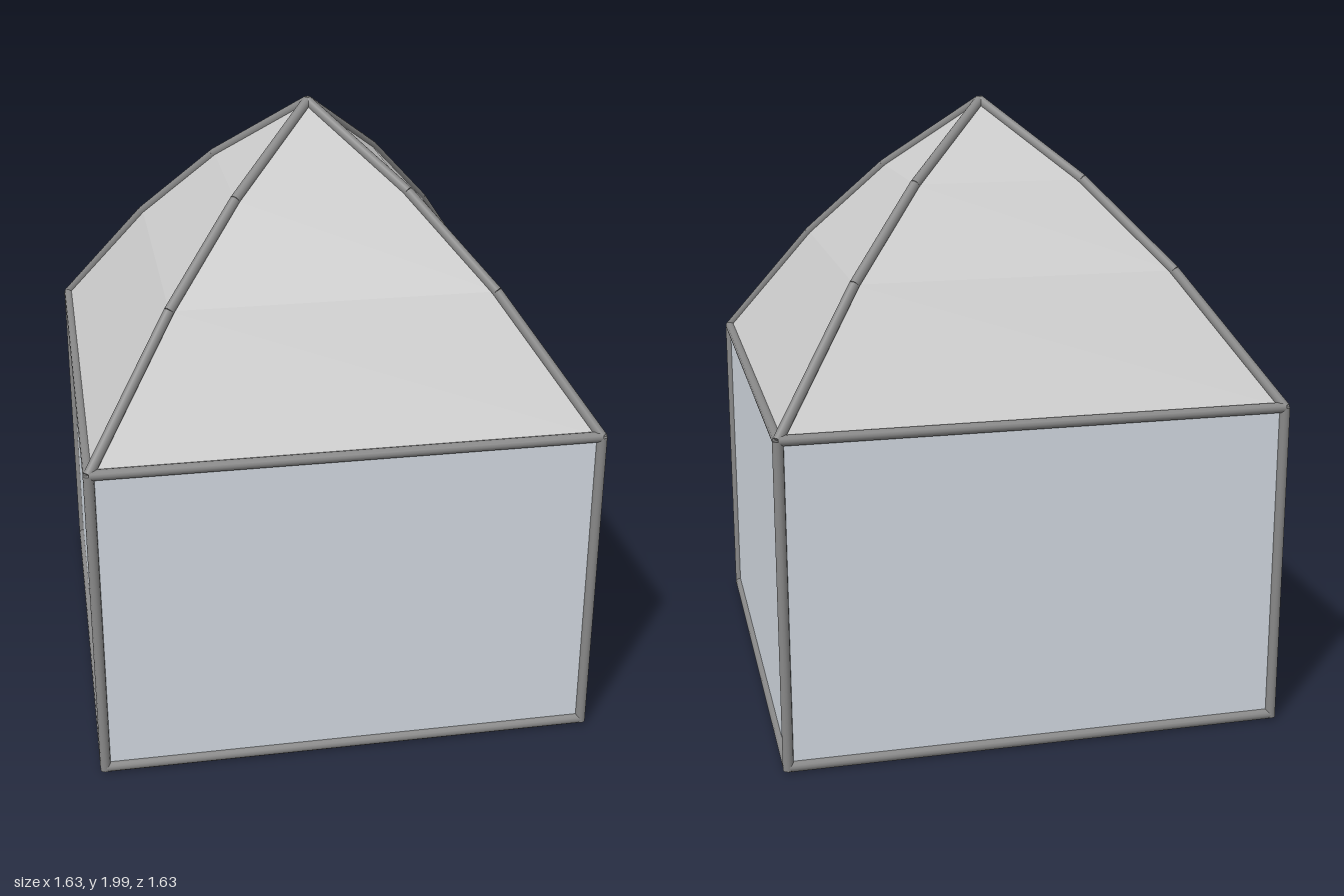
import * as THREE from 'three';

const HALF = 0.8, FLOOR = 0.017, EAVES = 1.07, RADIUS = 0.017;
// Roof profile: half width and height, from eaves to apex
const PROFILE = [[HALF, EAVES], [0.52, 1.47], [0.28, 1.74], [0, 1.98]];

export function createModel() {
  const model = new THREE.Group();
  const frameMat = new THREE.MeshStandardMaterial({ color: 0x888888 });
  const wallMat = new THREE.MeshStandardMaterial({ color: 0xd3dae2, side: THREE.DoubleSide });
  const roofMat = new THREE.MeshStandardMaterial({ color: 0xcccccc, side: THREE.DoubleSide, flatShading: true });

  // Straight round bar between two points
  function bar(name, a, b) {
    const dir = b.clone().sub(a);
    const mesh = new THREE.Mesh(new THREE.CylinderGeometry(RADIUS, RADIUS, dir.length(), 12), frameMat);
    mesh.position.copy(a).add(b).multiplyScalar(0.5);
    mesh.quaternion.setFromUnitVectors(new THREE.Vector3(0, 1, 0), dir.normalize());
    mesh.name = name;
    return mesh;
  }

  // Four-sided bowed roof, open underneath
  const points = PROFILE.map(([w, y]) => new THREE.Vector2(w * Math.SQRT2, y));
  const roof = new THREE.Mesh(new THREE.LatheGeometry(points, 4, Math.PI / 4), roofMat);
  roof.name = 'roof';
  model.add(roof);

  // Each side: wall panel, two rails, corner post and roof rib
  const v = (x, y, z) => new THREE.Vector3(x, y, z);
  ['front', 'left', 'back', 'right'].forEach((sideName, i) => {
    const side = new THREE.Group();
    side.name = sideName + 'Side';
    side.rotation.y = i * Math.PI / 2;

    const wall = new THREE.Mesh(new THREE.PlaneGeometry(2 * HALF, EAVES - FLOOR), wallMat);
    wall.position.set(0, (EAVES + FLOOR) / 2, HALF);
    wall.name = 'wall';
    side.add(wall);

    side.add(bar('bottomRail', v(-HALF, FLOOR, HALF), v(HALF, FLOOR, HALF)));
    side.add(bar('eavesRail', v(-HALF, EAVES, HALF), v(HALF, EAVES, HALF)));
    side.add(bar('cornerPost', v(HALF, FLOOR - 0.01, HALF), v(HALF, EAVES, HALF)));
    for (let k = 0; k < PROFILE.length - 1; k++) {
      const [w0, y0] = PROFILE[k], [w1, y1] = PROFILE[k + 1];
      side.add(bar('roofRib', v(w0, y0, w0), v(w1, y1, w1)));
    }
    model.add(side);
  });
  return model;
}
